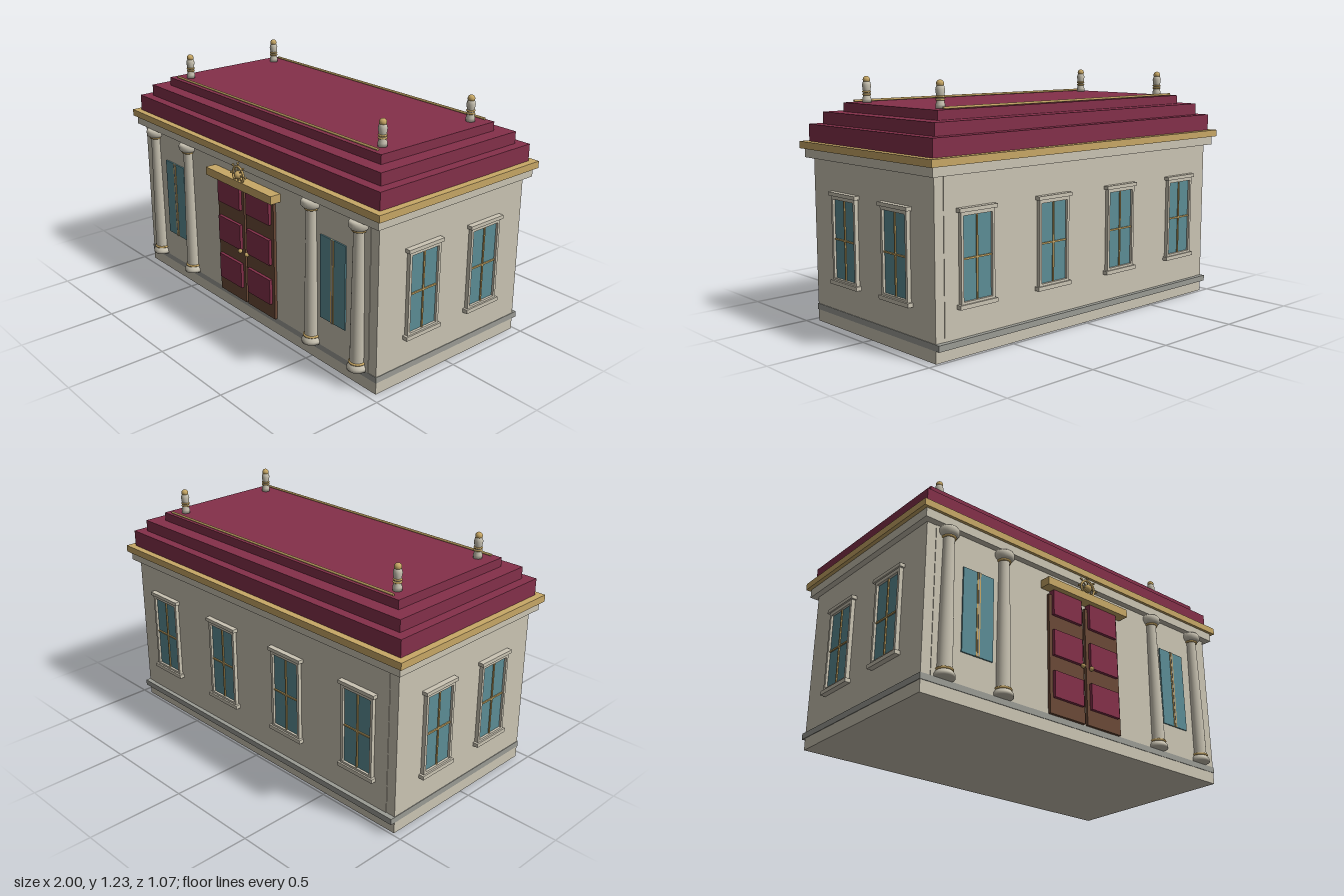
import * as THREE from 'three';

const mat = (color) => new THREE.MeshStandardMaterial({ color });

export function createModel() {
  const root = new THREE.Group();
  const stone = mat(0xcbc5b4), grey = mat(0x9b9c95), gold = mat(0xc8a866);
  const maroon = mat(0x84304a), brown = mat(0x6b4a37), glass = mat(0x5c8d96);

  const add = (parent, name, geo, material, x = 0, y = 0, z = 0) => {
    const m = new THREE.Mesh(geo, material);
    m.name = name;
    m.position.set(x, y, z);
    parent.add(m);
    return m;
  };
  // box given by its limits
  const box = (parent, name, material, x0, x1, y0, y1, z0, z1) =>
    add(parent, name, new THREE.BoxGeometry(x1 - x0, y1 - y0, z1 - z0), material,
      (x0 + x1) / 2, (y0 + y1) / 2, (z0 + z1) / 2);
  const lathe = (pts, seg = 24) =>
    new THREE.LatheGeometry(pts.map(([r, y]) => new THREE.Vector2(r, y)), seg);
  const group = (name, x, y, z) => {
    const g = new THREE.Group();
    g.name = name;
    g.position.set(x, y, z);
    root.add(g);
    return g;
  };

  // Body, with slightly raised front and back wall faces between the corner strips
  box(root, 'foundation', stone, -0.95, 0.95, 0, 0.06, -0.486, 0.46);
  box(root, 'ledge', grey, -0.953, 0.953, 0.06, 0.09, -0.512, 0.463);
  box(root, 'walls', stone, -0.95, 0.95, 0.09, 0.83, -0.486, 0.46);
  box(root, 'wallFaces', stone, -0.9, 0.9, 0.09, 0.83, -0.489, 0.463);
  box(root, 'cornice', stone, -0.98, 0.98, 0.83, 0.875, -0.518, 0.495);
  box(root, 'goldCornice', gold, -1, 1, 0.875, 0.91, -0.535, 0.51);

  // Stepped roof
  box(root, 'roofLower', maroon, -0.965, 0.965, 0.91, 0.995, -0.5, 0.475);
  box(root, 'roofMiddle', maroon, -0.915, 0.915, 0.995, 1.055, -0.452, 0.425);
  box(root, 'roofUpper', maroon, -0.84, 0.84, 1.055, 1.1, -0.38, 0.355);
  for (const z of [0.332, -0.363]) {
    const rail = add(root, 'roofRail', new THREE.CylinderGeometry(0.006, 0.006, 1.59, 10), gold, 0, 1.107, z);
    rail.rotation.z = Math.PI / 2;
  }

  // Roof finials
  const finialGeo = lathe([[0, 0], [0.022, 0], [0.022, 0.018], [0.018, 0.03], [0.016, 0.05],
    [0.019, 0.062], [0.022, 0.085], [0.018, 0.1], [0.012, 0.108], [0, 0.108]], 20);
  for (const x of [-0.76, 0.76]) for (const z of [0.272, -0.3]) {
    const f = group('finial', x, 1.1, z);
    add(f, 'finialPost', finialGeo, stone);
    for (const y of [0.04, 0.053]) {
      add(f, 'finialRing', new THREE.TorusGeometry(0.017, 0.005, 8, 20), gold, 0, y).rotation.x = Math.PI / 2;
    }
    add(f, 'finialBall', new THREE.SphereGeometry(0.018, 16, 12), gold, 0, 0.111);
  }

  // Columns
  const columnGeo = lathe([[0, 0.09], [0.05, 0.09], [0.05, 0.104], [0.043, 0.116], [0.037, 0.122],
    [0.036, 0.14], [0.035, 0.3], [0.027, 0.775], [0.03, 0.782], [0.042, 0.79],
    [0.05, 0.8], [0.05, 0.818], [0.043, 0.83], [0, 0.83]]);
  for (const x of [-0.835, -0.51, 0.51, 0.835]) {
    const c = group('column', x, 0, 0.47);
    add(c, 'columnShaft', columnGeo, stone);
    for (const [y, r] of [[0.127, 0.037], [0.782, 0.03]]) {
      add(c, 'columnRing', new THREE.TorusGeometry(r, 0.006, 8, 24), gold, 0, y).rotation.x = Math.PI / 2;
    }
  }

  // Framed windows, built facing +z with the wall at z = 0
  const framedWindow = (x, z, turn) => {
    const w = group('framedWindow', x, 0, z);
    w.rotation.y = turn;
    for (const s of [-1, 1]) {
      add(w, 'windowJamb', new THREE.BoxGeometry(0.014, 0.42, 0.02), stone, s * 0.092, 0.455, 0.01);
    }
    box(w, 'windowHead', stone, -0.085, 0.085, 0.645, 0.665, 0, 0.02);
    box(w, 'windowFoot', stone, -0.085, 0.085, 0.245, 0.257, 0, 0.02);
    box(w, 'windowCap', stone, -0.111, 0.111, 0.662, 0.68, 0, 0.028);
    box(w, 'windowSill', stone, -0.111, 0.111, 0.226, 0.246, 0, 0.028);
    box(w, 'windowGlass', glass, -0.087, 0.087, 0.25, 0.65, -0.01, 0.008);
    box(w, 'windowMullion', gold, -0.004, 0.004, 0.255, 0.647, 0, 0.014);
    box(w, 'windowCrossbar', gold, -0.087, 0.087, 0.446, 0.454, 0, 0.014);
  };
  for (const z of [0.188, -0.215]) {
    framedWindow(0.95, z, Math.PI / 2);
    framedWindow(-0.95, z, -Math.PI / 2);
  }
  for (const x of [-0.72, -0.24, 0.24, 0.72]) framedWindow(x, -0.488, Math.PI);

  // Plain front windows with a divided centre bar
  for (const x of [-0.657, 0.657]) {
    const w = group('frontWindow', x, 0, 0.46);
    box(w, 'frontGlass', glass, -0.088, 0.088, 0.245, 0.67, -0.01, 0.01);
    box(w, 'frontMullion', gold, -0.01, 0.01, 0.245, 0.67, 0, 0.013);
    box(w, 'mullionSeam', grey, -0.003, 0.003, 0.245, 0.67, 0, 0.015);
  }

  // Double door
  for (const s of [-1, 1]) {
    const d = group('doorLeaf', s * 0.12, 0, 0.46);
    box(d, 'doorPanelBack', brown, -0.112, 0.112, 0.09, 0.71, -0.01, 0.018);
    for (const [y0, y1] of [[0.17, 0.305], [0.385, 0.52], [0.6, 0.733]]) {
      box(d, 'doorPanel', maroon, -0.093, 0.093, y0, y1, 0, 0.034);
    }
    add(d, 'doorKnob', new THREE.SphereGeometry(0.012, 14, 10), gold, -s * 0.092, 0.38, 0.035);
  }
  box(root, 'doorLintel', gold, -0.27, 0.27, 0.733, 0.775, 0.45, 0.522);

  // Spoked wheel ornament above the door
  const wheel = group('wheelOrnament', 0, 0.806, 0.513);
  add(wheel, 'wheelRim', new THREE.TorusGeometry(0.043, 0.006, 10, 32), gold);
  add(wheel, 'wheelHub', new THREE.SphereGeometry(0.021, 18, 12), gold);
  for (let i = 0; i < 8; i++) {
    const a = (i * Math.PI) / 4;
    const spoke = add(wheel, 'wheelSpoke', new THREE.CylinderGeometry(0.0035, 0.0035, 0.06, 8), gold,
      -Math.sin(a) * 0.034, Math.cos(a) * 0.034);
    spoke.rotation.z = a;
    add(wheel, 'wheelHandle', new THREE.SphereGeometry(0.006, 10, 8), gold, -Math.sin(a) * 0.06, Math.cos(a) * 0.06);
  }
  return root;
}
